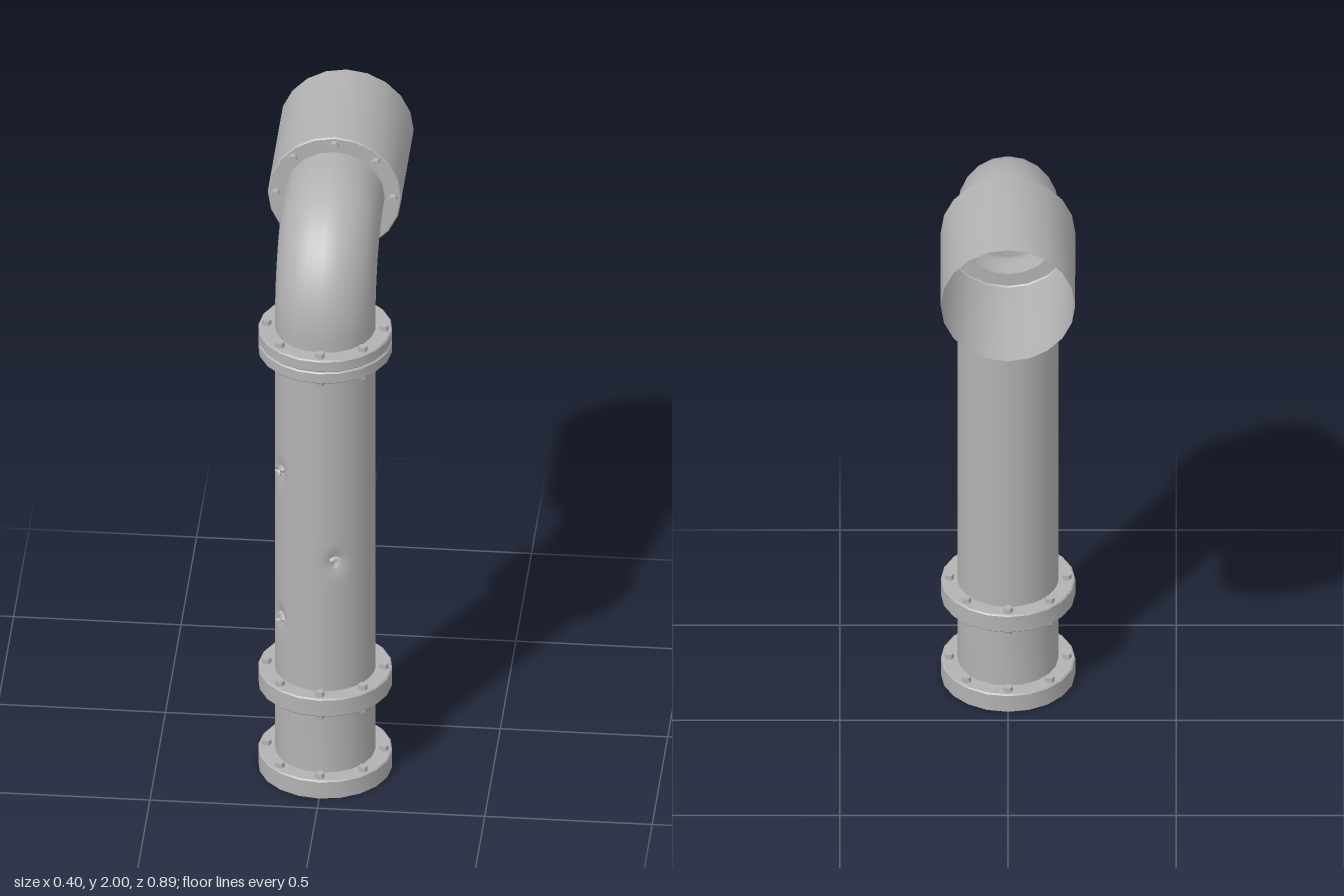
import * as THREE from 'three';
import { toCreasedNormals } from 'three/addons/utils/BufferGeometryUtils.js';

const AXIS_Z = 0.245, PIPE_R = 0.15, FLANGE_R = 0.2, SIDES = 20;

export function createModel() {
  const model = new THREE.Group();
  model.name = 'ventPipe';
  const steel = new THREE.MeshStandardMaterial({ color: 0xb2b2b2, side: THREE.DoubleSide });
  steel.name = 'greySteel';

  // The upright run shares one axis, set forward of the centre
  const upright = new THREE.Group();
  upright.name = 'uprightRun';
  upright.position.z = AXIS_Z;
  model.add(upright);

  function add(parent, name, geometry) {
    const mesh = new THREE.Mesh(geometry, steel);
    mesh.name = name;
    parent.add(mesh);
    return mesh;
  }

  function lathe(points) {
    const profile = points.map(([r, y]) => new THREE.Vector2(r, y));
    return toCreasedNormals(new THREE.LatheGeometry(profile, SIDES), 0.6);
  }

  // Ring of eight hexagonal bolt heads; dir is +1 for upward, -1 for downward
  function boltRing(parent, name, y, dir) {
    const ring = new THREE.Group();
    ring.name = name;
    const shape = toCreasedNormals(lathelessHex(), 0.5);
    for (let i = 0; i < 8; i++) {
      const a = (i * Math.PI) / 4;
      const bolt = add(ring, 'bolt', shape);
      bolt.position.set(0.175 * Math.sin(a), y + dir * 0.007, 0.175 * Math.cos(a));
      if (dir < 0) bolt.rotation.x = Math.PI;
    }
    parent.add(ring);
  }

  function lathelessHex() {
    return new THREE.CylinderGeometry(0.0135, 0.015, 0.016, 6, 1, false, Math.PI / 2);
  }

  // Closed collar with slightly bevelled rims
  function collar(name, y0, y1) {
    const b = 0.004;
    add(upright, name, lathe([
      [PIPE_R, y0], [FLANGE_R - b, y0], [FLANGE_R, y0 + b],
      [FLANGE_R, y1 - b], [FLANGE_R - b, y1], [PIPE_R, y1],
    ]));
  }

  // Base flange is a hollow cup, open underneath
  add(upright, 'baseFlange', lathe([
    [FLANGE_R, 0], [FLANGE_R, 0.056], [FLANGE_R - 0.004, 0.06], [PIPE_R, 0.06],
  ]));
  boltRing(upright, 'baseBolts', 0.06, 1);

  collar('middleFlange', 0.283, 0.345);
  boltRing(upright, 'middleUpperBolts', 0.345, 1);
  boltRing(upright, 'middleLowerBolts', 0.283, -1);

  collar('topFlangeLower', 1.445, 1.484);
  collar('topFlangeUpper', 1.486, 1.525);
  boltRing(upright, 'topUpperBolts', 1.525, 1);
  boltRing(upright, 'topLowerBolts', 1.445, -1);

  // Short lower pipe
  add(upright, 'lowerPipe', lathe([[PIPE_R, 0.055], [PIPE_R, 0.315]]));

  // Main pipe with three shallow dents: [angle from front, height]
  const dents = [[-1.04, 1.06], [0.3, 0.79], [-1.04, 0.55]];
  const y0 = 0.315, y1 = 1.485;
  const main = new THREE.CylinderGeometry(PIPE_R, PIPE_R, y1 - y0, 80, 110, true, Math.PI);
  main.translate(0, (y0 + y1) / 2, 0);
  const pos = main.attributes.position;
  for (let i = 0; i < pos.count; i++) {
    const x = pos.getX(i), y = pos.getY(i), z = pos.getZ(i);
    const angle = Math.atan2(x, z);
    let r = PIPE_R;
    for (const [a, h] of dents) {
      const d2 = ((angle - a) * PIPE_R) ** 2 + ((y - h) * 0.7) ** 2;
      r -= 0.012 * Math.exp(-d2 / (2 * 0.018 ** 2));
    }
    pos.setXYZ(i, r * Math.sin(angle), y, r * Math.cos(angle));
  }
  main.computeVertexNormals();
  add(upright, 'mainPipe', main);

  // Torn metal lip around each puncture
  dents.forEach(([a, h], k) => {
    const lip = new THREE.LatheGeometry([
      new THREE.Vector2(0.02, 0), new THREE.Vector2(0.013, 0.008),
      new THREE.Vector2(0.014, 0.017), new THREE.Vector2(0.008, 0.002),
    ], 9);
    const p = lip.attributes.position;
    for (let i = 0; i < p.count; i++) {
      const spike = 1 + 0.3 * Math.sin(3 * Math.atan2(p.getX(i), p.getZ(i)) + k * 1.7);
      p.setXYZ(i, p.getX(i) * spike, p.getY(i) * spike, p.getZ(i));
    }
    lip.rotateX(Math.PI / 2);
    const mesh = add(upright, 'tornLip', toCreasedNormals(lip, 0.4));
    mesh.position.set(Math.sin(a) * 0.138, h, Math.cos(a) * 0.138);
    mesh.rotation.y = a;
  });

  // Elbow: short riser, quarter bend, short run backwards
  const v = (y, z) => new THREE.Vector3(0, y, z);
  const k = 0.5523 * AXIS_Z;
  const path = new THREE.CurvePath();
  path.add(new THREE.LineCurve3(v(1.485, AXIS_Z), v(1.555, AXIS_Z)));
  path.add(new THREE.CubicBezierCurve3(
    v(1.555, AXIS_Z), v(1.555 + k, AXIS_Z), v(1.8, k), v(1.8, 0)));
  path.add(new THREE.LineCurve3(v(1.8, 0), v(1.8, -0.06)));
  add(model, 'elbow', new THREE.TubeGeometry(path, 40, PIPE_R, SIDES, false));

  // Wide outlet, open at the back, with a bolted front ring
  const outlet = new THREE.Group();
  outlet.name = 'outlet';
  outlet.position.set(0, 1.8, -0.055);
  outlet.rotation.x = Math.PI / 2;
  add(outlet, 'outletSleeve', lathe([
    [FLANGE_R, -0.39], [FLANGE_R, -0.004], [FLANGE_R - 0.004, 0], [PIPE_R, 0],
  ]));
  boltRing(outlet, 'outletBolts', 0, 1);
  model.add(outlet);

  return model;
}
